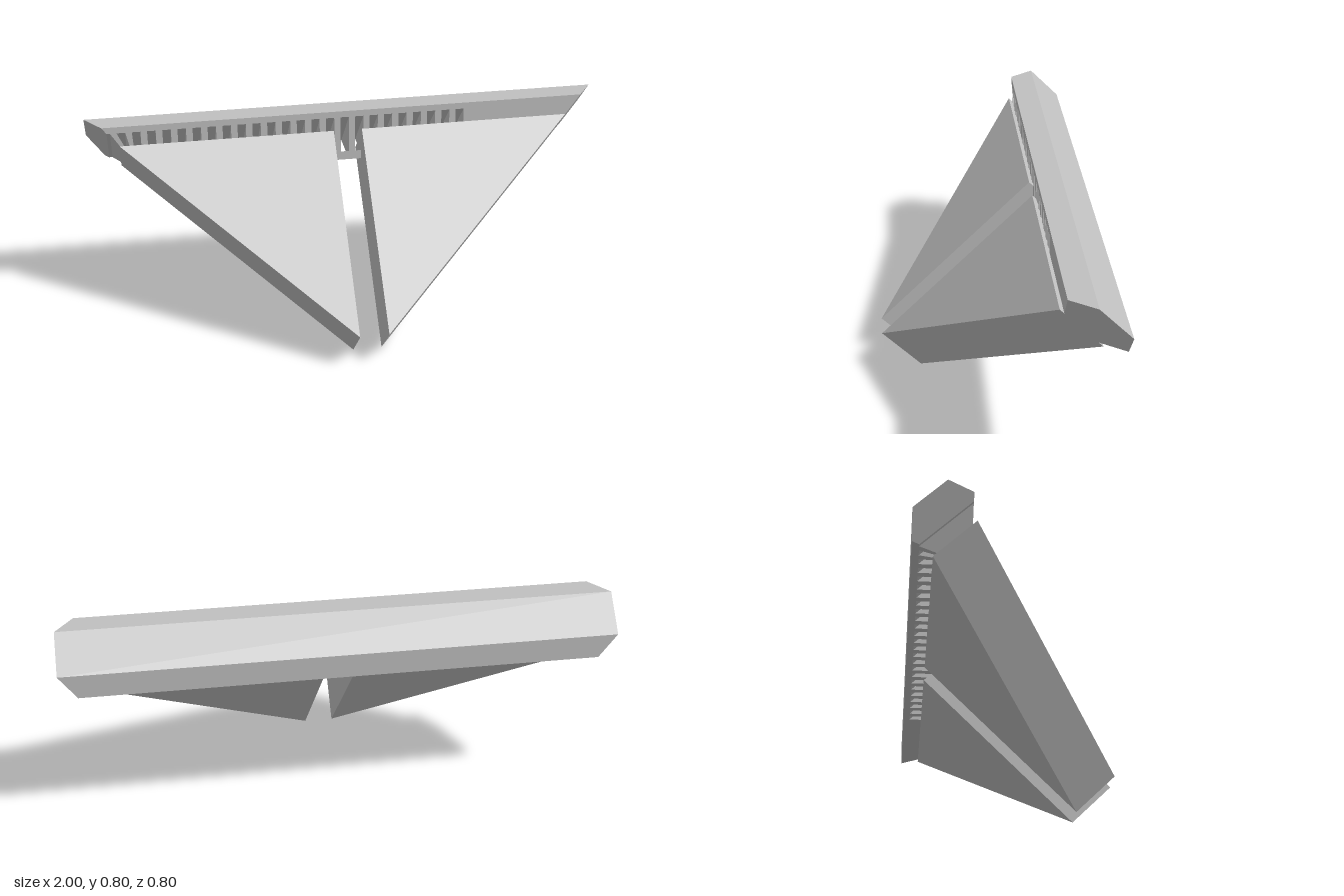
import * as THREE from 'three';

// t runs up the 45 degree slope, s runs through its thickness: y = (s+t)/2, z = (s-t)/2
const T0 = -0.251;
const GAP = 0.055;
const end = (t) => GAP + 0.7065 * (t - T0); // slanted side cut, half width at t

// Prism along x. rows: [t, sLow, sHigh]; xa and xb give the two end positions at t
function prism(rows, xa, xb) {
  const pts = [
    ...rows.map(([t, lo]) => [lo, t]),
    ...rows.slice().reverse().map(([t, , hi]) => [hi, t]),
  ].filter((p, i, a) => i === 0 || p[0] !== a[i - 1][0] || p[1] !== a[i - 1][1]);
  const shape = new THREE.Shape(pts.map(([s, t]) => new THREE.Vector2(s, t)));
  const geo = new THREE.ExtrudeGeometry(shape, { depth: 1, bevelEnabled: false });
  const pos = geo.attributes.position;
  for (let i = 0; i < pos.count; i++) {
    const s = pos.getX(i), t = pos.getY(i), k = pos.getZ(i);
    pos.setXYZ(i, xb(t) + (xa(t) - xb(t)) * k, (s + t) / 2, (s - t) / 2);
  }
  geo.computeVertexNormals();
  return geo;
}

export function createModel() {
  const model = new THREE.Group();
  const grey = new THREE.MeshStandardMaterial({ color: 0xc0c0c0 });
  grey.name = 'light grey';
  const add = (parent, name, geo) => {
    const mesh = new THREE.Mesh(geo, grey);
    mesh.name = name;
    parent.add(mesh);
  };
  const left = (t) => end(t), right = (t) => -end(t);

  // Two sloping triangular wings with a gap between them
  const wing = [[T0, 0.253, 0.55], [0.905, 0.253, 0.55]];
  add(model, 'leftWing', prism(wing, () => GAP, left));
  add(model, 'rightWing', prism(wing, right, () => -GAP));

  // Top bar: lower lip and chamfered upper rail, joined by a comb of teeth
  const bar = new THREE.Group();
  bar.name = 'slottedBar';
  model.add(bar);
  const slotLow = 0.823, slotHigh = 0.968;
  add(bar, 'lowerLip', prism([[0.788, 0.402, 0.402], [slotLow, 0.367, 0.437]], right, left));
  add(bar, 'upperRail', prism(
    [[slotHigh, 0.222, 0.582], [0.993, 0.197, 0.607], [1.085, 0.285, 0.515]], right, left));

  // Teeth between the slots; those at the right tip follow the slanted cut
  const teeth = [[slotLow, 0.367, 0.437], [slotHigh, 0.222, 0.582]];
  const pitch = 0.0569, slotWidth = 0.032, first = -0.879, count = 24;
  for (let i = 0; i < count; i++) {
    const b = first + pitch * i, a = b - pitch + slotWidth;
    add(bar, 'tooth', prism(teeth, (t) => Math.max(a, -end(t)), (t) => Math.max(b, -end(t))));
  }
  // Solid stretch without slots on the left
  const solidStart = first + pitch * (count - 1) + slotWidth;
  add(bar, 'solidEnd', prism(teeth, () => solidStart, left));

  return model;
}
